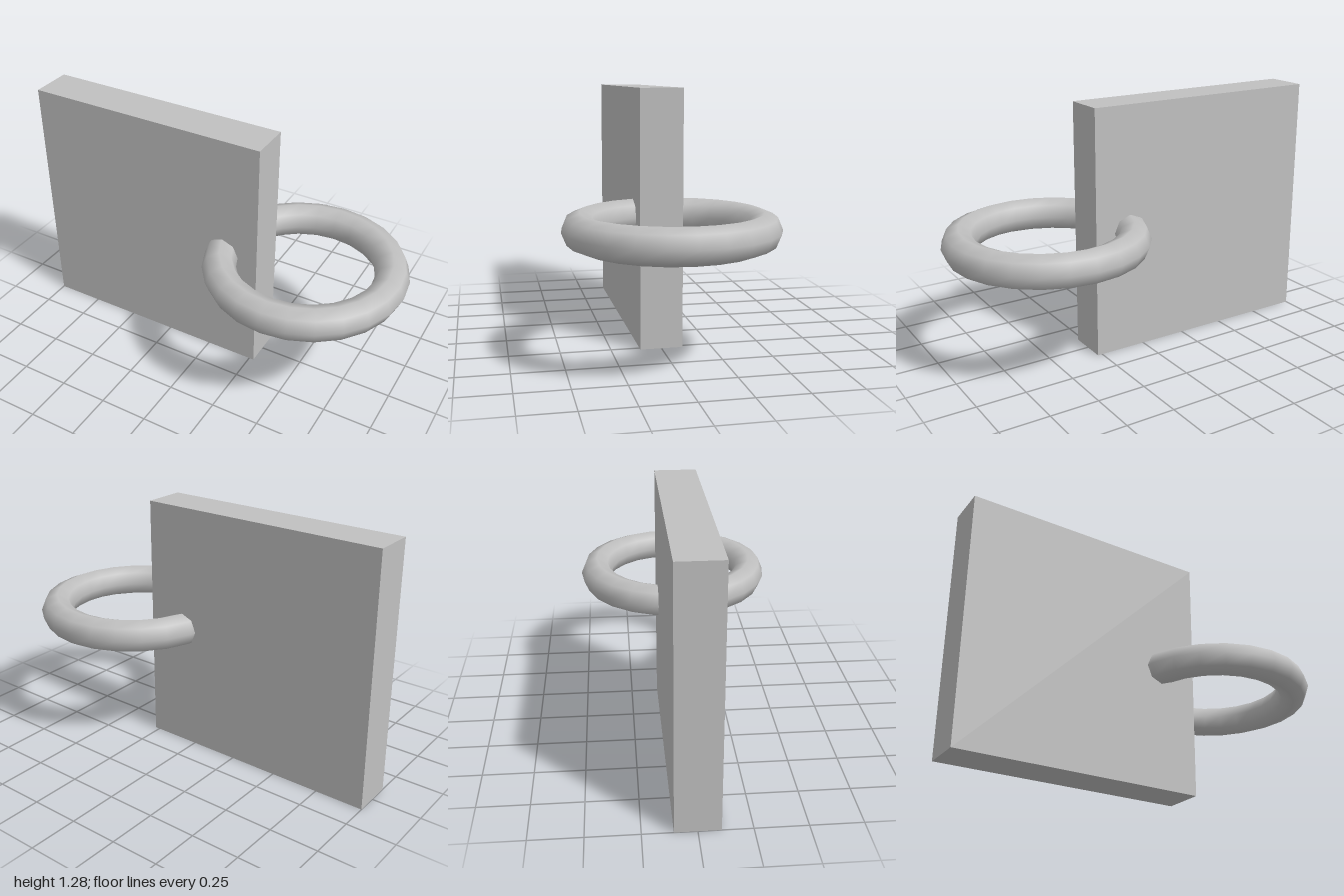
import * as THREE from 'three';

export function createModel() {
  const group = new THREE.Group();
  const grey = new THREE.MeshStandardMaterial({ color: 0xc0c0c0 });
  grey.name = 'grey';

  // Upright square slab
  const slab = new THREE.Mesh(new THREE.BoxGeometry(1.275, 1.28, 0.213), grey);
  slab.name = 'slab';
  slab.position.set(-0.3625, 0.64, 0);
  group.add(slab);

  // Horizontal ring threaded through the slab near its edge
  const ring = new THREE.Mesh(new THREE.TorusGeometry(0.425, 0.085, 8, 24), grey);
  ring.name = 'ring';
  ring.rotation.x = Math.PI / 2;
  ring.position.set(0.49, 0.64, 0);
  group.add(ring);

  return group;
}
